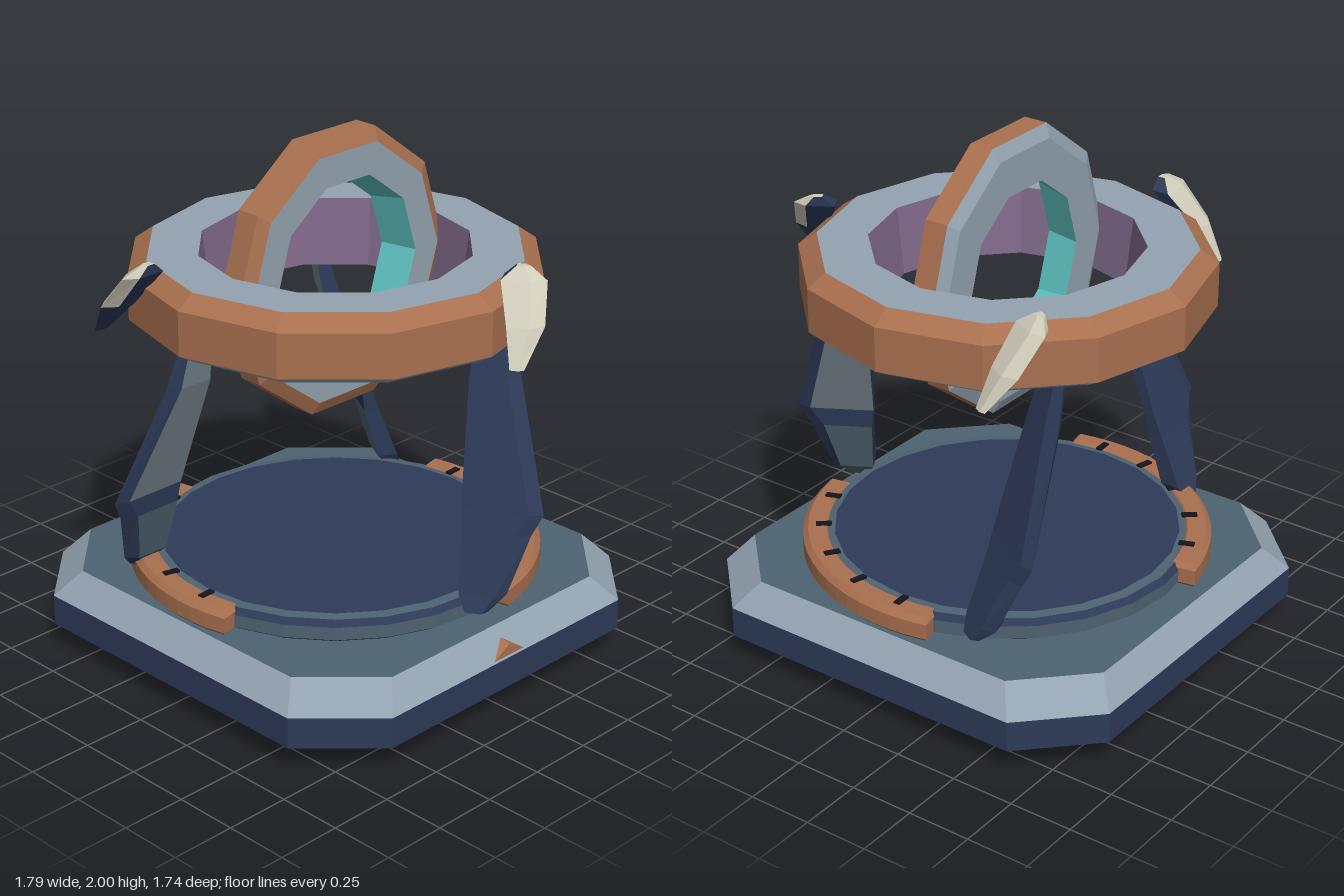
import * as THREE from 'three';
import { ConvexGeometry } from 'three/addons/geometries/ConvexGeometry.js';

const mat = (name, color) => {
  const m = new THREE.MeshStandardMaterial({ color, flatShading: true });
  m.name = name;
  return m;
};

// Skins horizontal cross-sections (ordered bottom to top, points running z -> x).
// pick(level, side) returns the material index of each quad.
function loft(sections, pick, bottomMat, topMat) {
  const pos = [], groups = [];
  const add = (m, ...pts) => {
    groups.push([pos.length / 3, pts.length, m]);
    pts.forEach(p => pos.push(...p));
  };
  const n = sections[0].length, last = sections[sections.length - 1];
  for (let i = 0; i < sections.length - 1; i++) {
    for (let j = 0; j < n; j++) {
      const k = (j + 1) % n;
      const a = sections[i][j], b = sections[i][k], c = sections[i + 1][k], d = sections[i + 1][j];
      add(pick(i, j), a, b, c, a, c, d);
    }
  }
  for (let j = 1; j < n - 1; j++) {
    add(bottomMat, sections[0][0], sections[0][j + 1], sections[0][j]);
    add(topMat, last[0], last[j], last[j + 1]);
  }
  const g = new THREE.BufferGeometry();
  g.setAttribute('position', new THREE.Float32BufferAttribute(pos, 3));
  groups.forEach(q => g.addGroup(...q));
  g.computeVertexNormals();
  return g;
}

export function createModel() {
  const copper = mat('copper', 0xa9704f), light = mat('paleSteel', 0x93a3b0);
  const slate = mat('slate', 0x4e6270), navy = mat('navy', 0x2d3a58);
  const black = mat('black', 0x14141b), purple = mat('purple', 0x80698a);
  const teal = mat('teal', 0x5fc4c2), bone = mat('bone', 0xd0ccba);
  const steel = mat('panelGrey', 0x76848c);

  const model = new THREE.Group();
  const mesh = (name, geo, material, parent = model) => {
    const m = new THREE.Mesh(geo, material);
    m.name = name;
    parent.add(m);
    return m;
  };

  // Faceted turned part: one strip per profile edge, each with its own colour
  const turned = (name, segs, pts, mats) => {
    const g = new THREE.Group();
    g.name = name;
    mats.forEach((m, i) => {
      const edge = [pts[i], pts[(i + 1) % pts.length]].map(p => new THREE.Vector2(...p));
      mesh(name + 'Face', new THREE.LatheGeometry(edge, segs), m, g);
    });
    model.add(g);
    return g;
  };

  // Chamfered rectangular base
  const octagon = (y, hx, hz, c) => [
    [hx - c, y, hz], [hx, y, hz - c], [hx, y, c - hz], [hx - c, y, -hz],
    [c - hx, y, -hz], [-hx, y, c - hz], [-hx, y, hz - c], [c - hx, y, hz],
  ];
  mesh('base', loft([
    octagon(0, 0.745, 0.72, 0.22), octagon(0.1, 0.895, 0.872, 0.258),
    octagon(0.22, 0.895, 0.872, 0.258), octagon(0.32, 0.815, 0.785, 0.25),
  ], level => level, 0, 3), [black, navy, light, slate]);

  // Round platform with slate rim
  turned('platform', 24,
    [[0.69, 0.315], [0.72, 0.335], [0.72, 0.385], [0.7, 0.408], [0.66, 0.412], [0, 0.412]],
    [navy, slate, navy, slate, navy]);

  // Two opposite copper arcs with dark notches
  const rad = THREE.MathUtils.degToRad;
  const arc = new THREE.Shape();
  arc.absarc(0, 0, 0.76, rad(-169), rad(-77), false);
  arc.absarc(0, 0, 0.69, rad(-77), rad(-169), true);
  const arcGeo = new THREE.ExtrudeGeometry(arc, {
    depth: 0.06, bevelThickness: 0.02, bevelSize: 0.02, bevelSegments: 1, curveSegments: 9,
  });
  arcGeo.rotateX(-Math.PI / 2);
  for (let k = 0; k < 2; k++) {
    const side = new THREE.Group();
    side.name = 'arcTrack';
    side.rotation.y = k * Math.PI;
    model.add(side);
    mesh('copperArc', arcGeo, copper, side).position.y = 0.335;
    for (let i = 0; i < 5; i++) {
      const a = rad(87 + i * 18);
      const tick = mesh('arcNotch', new THREE.BoxGeometry(0.06, 0.008, 0.025), black, side);
      tick.position.set(0.7 * Math.cos(a), 0.418, 0.7 * Math.sin(a));
      tick.rotation.y = -a;
    }
  }

  // Large horizontal ring
  turned('horizontalRing', 12,
    [[0.48, -0.13], [0.7, -0.13], [0.77, -0.09], [0.77, 0.08], [0.7, 0.13], [0.51, 0.13]],
    [light, light, copper, copper, light, purple]).position.y = 1.45;

  // Smaller upright ring standing through it
  const upright = turned('uprightRing', 10,
    [[0.325, -0.075], [0.475, -0.075], [0.525, -0.05], [0.525, 0.045], [0.475, 0.07], [0.355, 0.07]],
    [light, light, copper, copper, light, teal]);
  upright.rotation.z = -Math.PI / 2;
  upright.scale.x = 1.04;
  upright.position.set(-0.005, 1.48, 0);

  // Bent plate legs and the shards above them, repeated three times
  const blade = ([y, zOut, zIn, x, t, edge]) => [
    [x, y, zOut], [x + t, y, zOut - edge], [x + t, y, zIn], [x - t, y, zIn], [x - t, y, zOut - edge],
  ];
  const legGeo = loft([
    [0.37, 0.68, 0.6, -0.41, 0.025, 0.02],
    [0.43, 0.74, 0.57, -0.37, 0.04, 0.04],
    [0.64, 0.81, 0.56, -0.3, 0.03, 0.06],
    [0.72, 0.85, 0.55, -0.28, 0.022, 0.05],
    [1.18, 0.725, 0.54, -0.125, 0.032, 0.045],
    [1.36, 0.685, 0.56, -0.085, 0.022, 0.03],
  ].map(blade), (level, side) => (side !== 1 || level === 2 ? 0 : level < 2 ? 1 : 2), 0, 0);
  const shardGeo = loft([
    [1.34, 0.79, 0.74, -0.43, 0.012, 0.02],
    [1.47, 0.84, 0.71, -0.33, 0.04, 0.05],
    [1.6, 0.825, 0.665, -0.225, 0.035, 0.05],
    [1.64, 0.76, 0.71, -0.2, 0.015, 0.02],
  ].map(blade), (level, side) => (side === 1 || side === 2 || (side === 0 && level === 0) ? 0 : 1), 0, 1);
  for (let k = 0; k < 3; k++) {
    const support = new THREE.Group();
    support.name = 'support';
    support.rotation.y = k * Math.PI * 2 / 3;
    model.add(support);
    mesh('leg', legGeo, [navy, slate, steel], support);
    mesh('shard', shardGeo, [navy, bone], support);
  }

  // Small copper pointer on the base edge
  mesh('pointer', new ConvexGeometry([
    [0.8, 0.29, 0], [0.89, 0.225, 0.08], [0.89, 0.225, -0.08], [0.89, 0.272, 0], [0.82, 0.225, 0],
  ].map(p => new THREE.Vector3(...p))), copper);

  return model;
}
